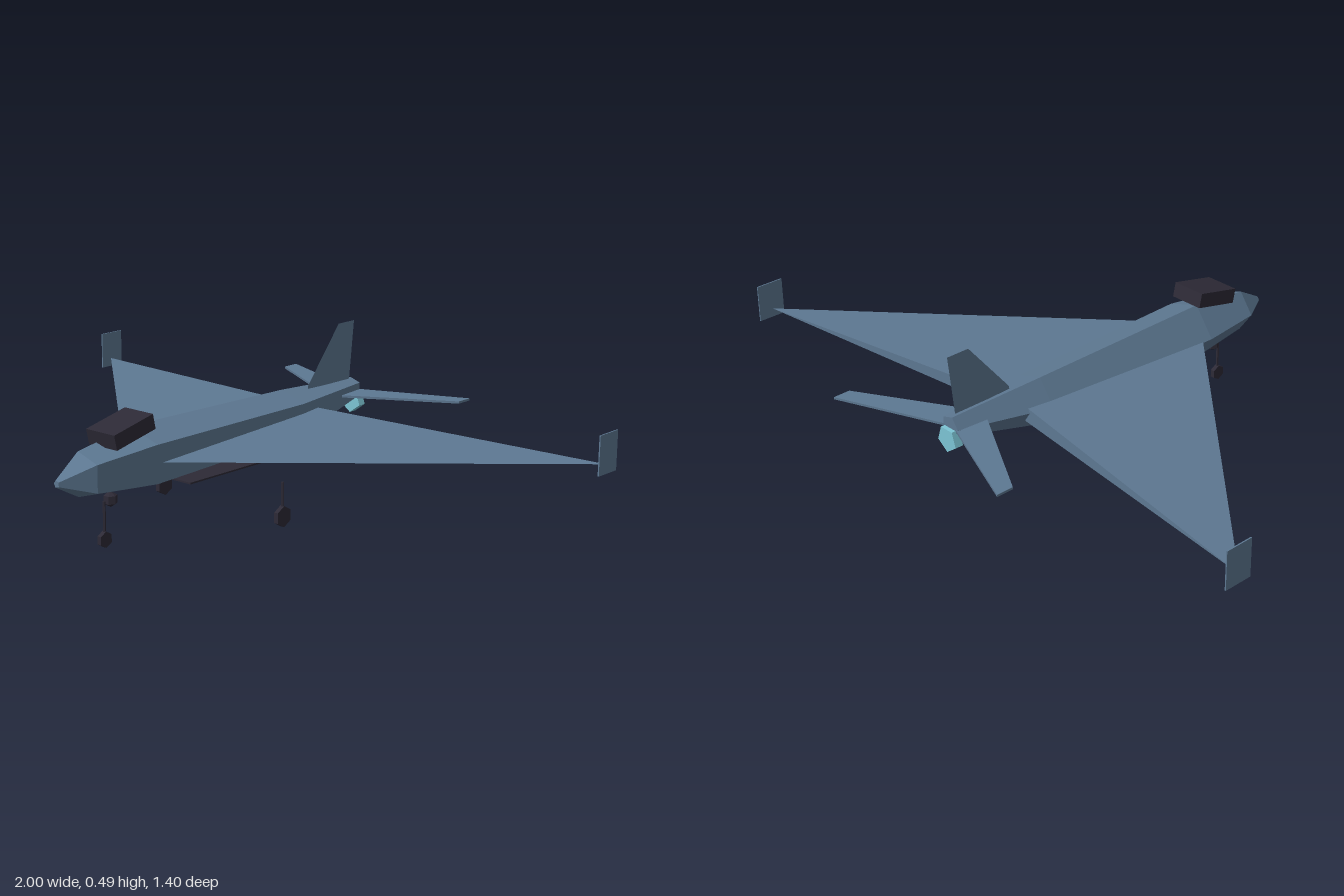
import * as THREE from 'three';
import { ConvexGeometry } from 'three/addons/geometries/ConvexGeometry.js';

function material(name, color, options = {}) {
  const m = new THREE.MeshStandardMaterial({ color, flatShading: true, ...options });
  m.name = name;
  return m;
}

// Five-sided hull lofted through [z, centreY, radius] stations, nose to tail
function loftHull(stations) {
  const n = 5, positions = [], index = [];
  for (const [z, y, r] of stations) {
    for (let k = 0; k < n; k++) {
      const a = ((36 + 72 * k) * Math.PI) / 180;
      positions.push(r * Math.cos(a), y + r * Math.sin(a), z);
    }
  }
  for (let s = 0; s < stations.length - 1; s++) {
    for (let k = 0; k < n; k++) {
      const a = s * n + k, b = s * n + ((k + 1) % n);
      index.push(a, a + n, b, b, a + n, b + n);
    }
  }
  const last = (stations.length - 1) * n;
  for (let k = 1; k < n - 1; k++) {
    index.push(0, k, k + 1, last, last + k + 1, last + k);
  }
  const g = new THREE.BufferGeometry();
  g.setAttribute('position', new THREE.Float32BufferAttribute(positions, 3));
  g.setIndex(index);
  const flat = g.toNonIndexed();
  flat.computeVertexNormals();
  return flat;
}

export function createModel() {
  const model = new THREE.Group();
  model.name = 'aircraft';
  const hull = material('blue grey paint', 0x5d7892);
  const finPaint = hull;
  finPaint.side = THREE.DoubleSide;
  const dark = material('dark trim', 0x2d2a36);
  const cyan = material('engine cyan', 0x7cc4d4);

  const add = (name, geometry, mat, x = 0, y = 0, z = 0) => {
    const mesh = new THREE.Mesh(geometry, mat);
    mesh.name = name;
    mesh.position.set(x, y, z);
    model.add(mesh);
    return mesh;
  };
  const solid = (points, side) =>
    new ConvexGeometry(points.map(([x, y, z]) => new THREE.Vector3(x * side, y, z)));

  // Fuselage
  add('fuselage', loftHull([
    [0.70, 0.222, 0.011],
    [0.60, 0.225, 0.069],
    [0.39, 0.228, 0.097],
    [-0.25, 0.235, 0.081],
    [-0.565, 0.268, 0.034],
  ]), hull);

  // Wings, wing tip fins and tailplanes, mirrored
  for (const [side, label] of [[1, 'left'], [-1, 'right']]) {
    add(label + 'Wing', solid([
      [0, 0.23, 0.44], [0, 0.257, -0.32], [0, 0.207, -0.32], [0.998, 0.228, -0.462],
    ], side), hull);
    add(label + 'TipFin', new THREE.BoxGeometry(0.004, 0.118, 0.09), hull,
      side * 0.998, 0.26, -0.466);
    const plan = [[0, -0.44], [0.355, -0.645], [0.355, -0.70], [0, -0.555]];
    add(label + 'Tailplane', solid(
      plan.flatMap(([x, z]) => [[x, 0.26, z], [x, 0.267, z]]), side), hull);
  }

  // Upright tail fin, a single thin sheet
  const finShape = new THREE.Shape([
    [0.345, 0.30], [0.345, 0.31], [0.49, 0.485], [0.565, 0.485], [0.545, 0.30],
  ].map(([x, y]) => new THREE.Vector2(x, y)));
  add('tailFin', new THREE.ShapeGeometry(finShape).rotateY(Math.PI / 2), finPaint);

  // Canopy block, tilted down toward the nose
  add('canopy', new THREE.BoxGeometry(0.112, 0.046, 0.154), dark, 0, 0.33, 0.455)
    .rotation.x = 0.22;

  // Belly panel and chin sensor
  add('bellyPanel', new THREE.BoxGeometry(0.09, 0.005, 0.315), dark, 0, 0.13, 0.068);
  add('chinSensor', new THREE.SphereGeometry(0.023, 6, 3), dark, 0, 0.136, 0.5);

  // Engine nozzle
  add('engineNozzle', new THREE.CylinderGeometry(0.04, 0.04, 0.027, 5).rotateX(Math.PI / 2),
    cyan, 0, 0.23, -0.565);

  // Landing gear: strut and six-sided wheel
  const gear = (label, x, z, r) => {
    const wheel = new THREE.CylinderGeometry(r, r, 0.014, 6, 1, false, Math.PI / 6);
    add(label + 'Wheel', wheel.rotateZ(Math.PI / 2), dark, x, r, z);
    const height = 0.135 - r;
    add(label + 'Strut', new THREE.CylinderGeometry(0.0045, 0.0045, height, 5), dark,
      x, r + height / 2, z);
  };
  gear('nose', 0, 0.525, 0.024);
  gear('left', 0.24, 0.045, 0.032);
  gear('right', -0.24, 0.045, 0.032);

  return model;
}
